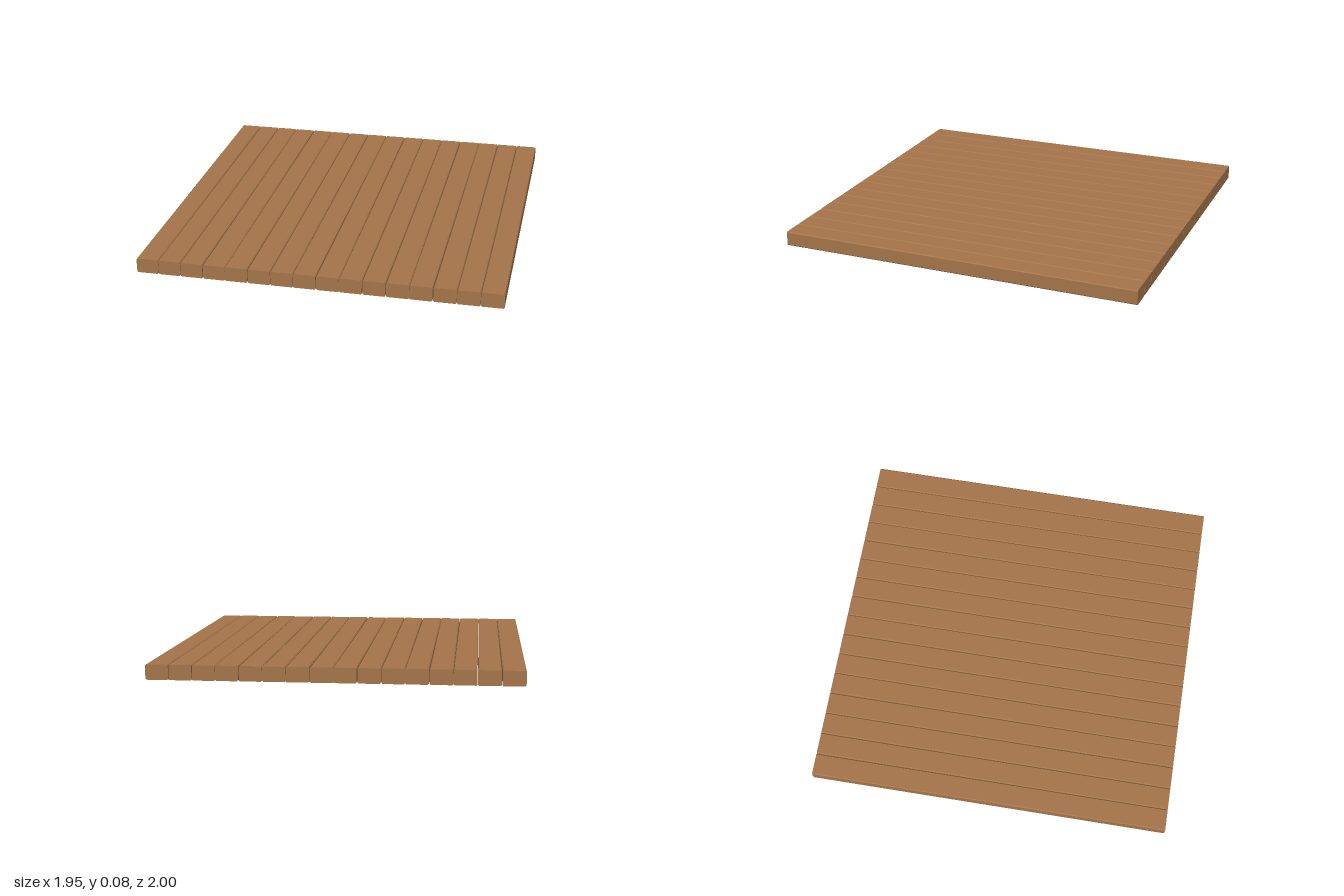
import * as THREE from 'three';

const COUNT = 16, TOTAL = 1.95, LENGTH = 2, HEIGHT = 0.08;
const WIDTH = 0.1195, BEVEL = 0.005;

// Plank cross-section with its four long edges chamfered
function plankGeometry() {
  const w = WIDTH / 2, h = HEIGHT / 2, b = BEVEL;
  const section = new THREE.Shape([
    [-w + b, -h], [w - b, -h], [w, -h + b], [w, h - b],
    [w - b, h], [-w + b, h], [-w, h - b], [-w, -h + b],
  ].map(([x, y]) => new THREE.Vector2(x, y)));
  const geometry = new THREE.ExtrudeGeometry(section, { depth: LENGTH - 0.002, bevelEnabled: false });
  return geometry.center();
}

export function createModel() {
  const model = new THREE.Group();
  model.name = 'plankFloor';
  const wood = new THREE.MeshStandardMaterial({ color: 0xa5754a, flatShading: true });
  const geometry = plankGeometry();
  const pitch = (TOTAL - WIDTH) / (COUNT - 1);

  // Row of planks, each laid very slightly out of true
  for (let i = 0; i < COUNT; i++) {
    const plank = new THREE.Mesh(geometry, wood);
    plank.name = `plank${i + 1}`;
    plank.position.set((i - (COUNT - 1) / 2) * pitch, HEIGHT / 2, 0);
    plank.rotation.y = 0.001 * Math.sin(i * 2.4 + 1);
    model.add(plank);
  }
  return model;
}
